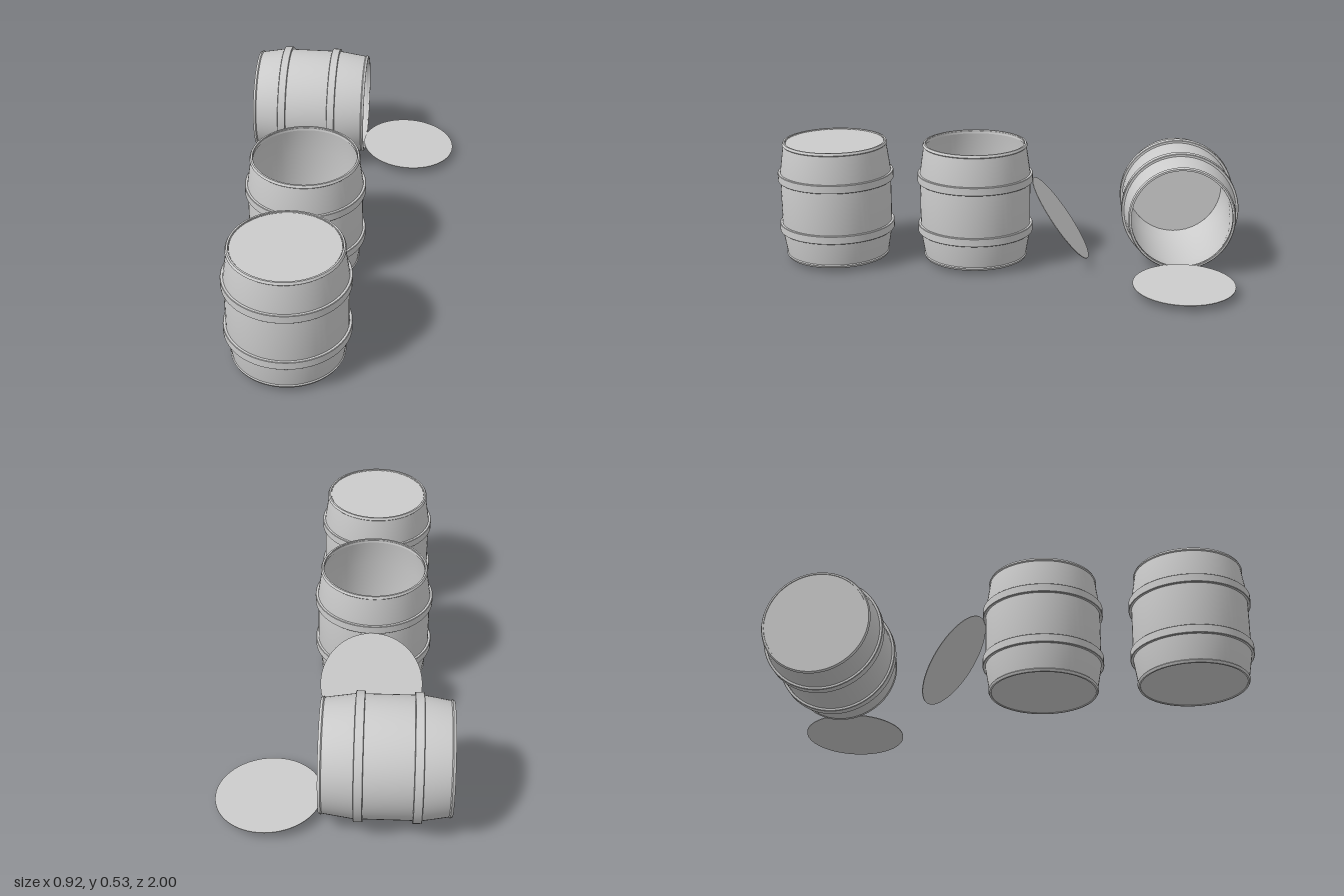
import * as THREE from 'three';
import { toCreasedNormals } from 'three/addons/utils/BufferGeometryUtils.js';

const material = new THREE.MeshStandardMaterial({ color: 0xcccccc });
const SEGMENTS = 64;
const HEIGHT = 0.51;
const LID_RADIUS = 0.212;

function lathe(name, points) {
  const profile = points.map(([r, y]) => new THREE.Vector2(r, y));
  const geometry = toCreasedNormals(new THREE.LatheGeometry(profile, SEGMENTS), 0.4);
  const mesh = new THREE.Mesh(geometry, material);
  mesh.name = name;
  return mesh;
}

// Closed ring following the tapered end, with a bevelled lip
function rim(name, y, dir) {
  const points = [
    [0.213, y - dir * 0.016], [0.221, y - dir * 0.016], [0.227, y - dir * 0.01],
    [0.222, y], [0.215, y], [0.213, y - dir * 0.016],
  ];
  return lathe(name, dir > 0 ? points : points.reverse());
}

function hoop(y) {
  return lathe('hoop', [
    [0.236, y - 0.018], [0.249, y - 0.018], [0.251, y - 0.016],
    [0.251, y + 0.016], [0.249, y + 0.018], [0.236, y + 0.018],
  ]);
}

function lid(name) {
  const mesh = new THREE.Mesh(new THREE.CylinderGeometry(LID_RADIUS, LID_RADIUS, 0.003, SEGMENTS), material);
  mesh.name = name;
  return mesh;
}

// Barrel standing on its local origin, open at the top
function barrel(name) {
  const group = new THREE.Group();
  group.name = name;
  group.add(
    lathe('barrelBody', [
      // underside and outer wall
      [0, 0.003], [0.221, 0.003], [0.223, 0.015], [0.24, 0.115],
      [0.24, 0.377], [0.223, 0.495], [0.221, 0.506],
      // inner wall and floor
      [0.213, 0.506], [0.215, 0.495], [0.23, 0.377],
      [0.23, 0.115], [0.213, 0.015], [0, 0.015],
    ]),
    rim('topRim', HEIGHT, 1),
    rim('bottomRim', 0, -1),
    hoop(0.134),
    hoop(0.359),
  );
  return group;
}

export function createModel() {
  const model = new THREE.Group();
  model.name = 'barrels';

  // Front barrel with its lid in place
  const closedBarrel = barrel('closedBarrel');
  closedBarrel.position.set(-0.138, 0.019, 0.749);
  const fittedLid = lid('fittedLid');
  fittedLid.position.y = HEIGHT - 0.006;
  closedBarrel.add(fittedLid);

  // Middle barrel, open, with a lid leaning against its back
  const openBarrel = barrel('openBarrel');
  openBarrel.position.set(-0.138, 0.019, 0.138);
  const leaningLid = lid('leaningLid');
  leaningLid.position.set(-0.138, 0.192, -0.236);
  leaningLid.rotation.x = -0.943;

  // Rear barrel lying on its side, mouth towards +x, lid on the ground
  const lyingBarrel = barrel('lyingBarrel');
  lyingBarrel.position.set(-0.463, 0.251, -0.749);
  lyingBarrel.rotation.z = -Math.PI / 2;
  const fallenLid = lid('fallenLid');
  fallenLid.position.set(0.25, 0.037, -0.751);
  fallenLid.rotation.z = -0.048;

  model.add(closedBarrel, openBarrel, leaningLid, lyingBarrel, fallenLid);
  return model;
}
